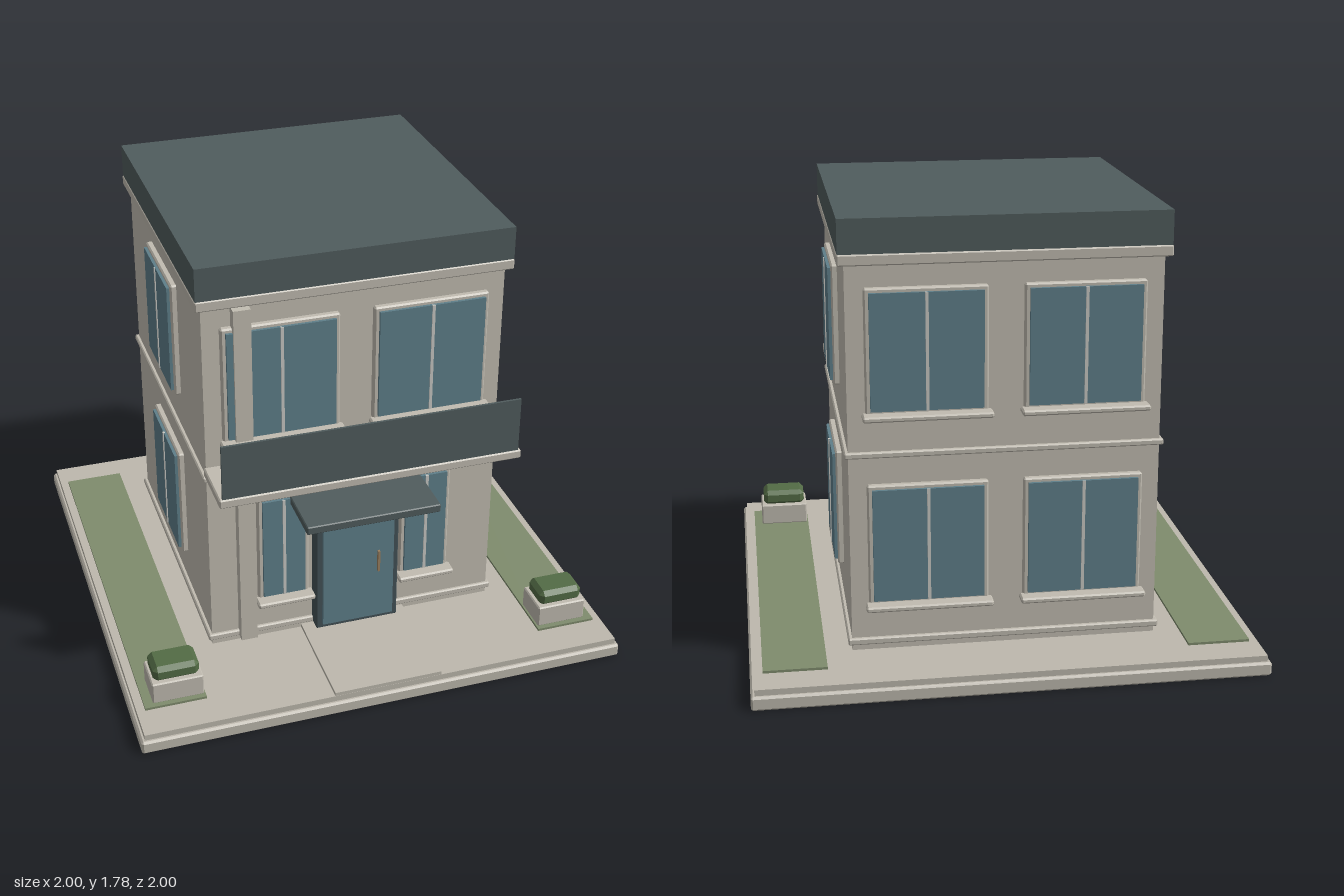
import * as THREE from 'three';
import { ConvexGeometry } from 'three/addons/geometries/ConvexGeometry.js';

const paint = (name, color) => Object.assign(new THREE.MeshStandardMaterial({ color }), { name });

export function createModel() {
  const wall = paint('wall plaster', 0xc2bdb1);
  const trim = paint('trim stone', 0xc0bbb0);
  const paving = paint('paving', 0xbdb8ad);
  const slate = paint('slate', 0x505c5d);
  const glass = paint('window glass', 0x5f7f8a);
  const mullionPaint = paint('mullion', 0xc9c9c4);
  const doorDark = paint('door frame', 0x435156);
  const grass = paint('grass', 0x7f8c6d);
  const leaf = paint('leaf', 0x536b45);
  const brass = paint('brass', 0x9a8060);

  const house = new THREE.Group();
  house.name = 'house';

  // Box given by its limits on each axis, with an optional chamfer on every edge
  function box(name, mat, x, y, z, bevel = 0, parent = house) {
    const size = [x[1] - x[0], y[1] - y[0], z[1] - z[0]];
    let geo;
    if (bevel) {
      const pts = [];
      for (const sx of [-1, 1]) for (const sy of [-1, 1]) for (const sz of [-1, 1])
        for (let face = 0; face < 3; face++) {
          const p = [sx, sy, sz].map((s, i) => s * (size[i] / 2 - (i === face ? 0 : bevel)));
          pts.push(new THREE.Vector3(...p));
        }
      geo = new ConvexGeometry(pts);
    } else geo = new THREE.BoxGeometry(...size);
    const mesh = new THREE.Mesh(geo, mat);
    mesh.name = name;
    mesh.position.set((x[0] + x[1]) / 2, (y[0] + y[1]) / 2, (z[0] + z[1]) / 2);
    parent.add(mesh);
    return mesh;
  }
  const mid = (w) => [-w, w];

  // Ground slab, lawns and path
  box('groundSlab', paving, mid(1), [0, 0.056], mid(1), 0.008);
  box('pavedTop', paving, mid(0.985), [0.056, 0.08], mid(0.985));
  box('frontPath', paving, mid(0.222), [0.08, 0.095], [0.5, 0.984]);
  for (const s of [-1, 1])
    box('lawn', grass, [s * 0.828 - 0.123, s * 0.828 + 0.123], [0.08, 0.09], [-0.852, 0.845]);

  // Walls, bands and roof
  box('walls', wall, mid(0.6), [0.08, 1.615], [-0.7, 0.522]);
  box('plinthBand', trim, mid(0.615), [0.105, 0.132], [-0.715, 0.535], 0.005);
  box('floorBand', trim, mid(0.615), [0.868, 0.892], [-0.715, 0.535], 0.005);
  box('cornice', trim, mid(0.626), [1.61, 1.653], [-0.727, 0.552], 0.005);
  box('roof', slate, mid(0.624), [1.653, 1.785], [-0.722, 0.55]);
  box('pilaster', wall, [-0.488, -0.42], [0.105, 1.605], [0.52, 0.568]);

  // Windows: built facing +z, then turned onto their wall
  function makeWindow(x, y, z, turn, w, sill) {
    const g = new THREE.Group();
    g.name = 'window';
    const h = 0.242;
    box('windowFrame', trim, mid(w / 2), mid(h), [-0.01, 0.024], 0.006, g);
    box('windowGlass', glass, mid(w / 2 - 0.018), mid(h - 0.016), [0.02, 0.036], 0, g);
    box('windowMullion', mullionPaint, mid(0.006), mid(h - 0.016), [0.03, 0.04], 0, g);
    if (sill) box('windowSill', trim, mid(w / 2 + 0.014), [-h - 0.014, -h + 0.008], [0.012, 0.076], 0.006, g);
    g.position.set(x, y, z);
    g.rotation.y = turn;
    house.add(g);
  }
  for (const [floor, y] of [0.52, 1.283].entries())
    for (const s of [-1, 1]) {
      makeWindow(s * 0.3, y, 0.522, 0, floor ? 0.464 : 0.21, true);
      makeWindow(s * 0.3, y, -0.7, Math.PI, 0.464, true);
      makeWindow(s * 0.6, y, -0.085, s * Math.PI / 2, 0.436, false);
    }

  // Front door and canopy
  box('doorFrame', doorDark, mid(0.174), [0.105, 0.706], [0.51, 0.586], 0.004);
  box('doorPanel', glass, mid(0.15), [0.13, 0.682], [0.58, 0.6]);
  box('doorHandle', brass, [0.079, 0.088], [0.358, 0.455], [0.6, 0.613]);
  box('doorCanopy', slate, mid(0.273), [0.718, 0.753], [0.52, 0.782], 0.004);

  // Balcony
  box('balconySlab', trim, mid(0.608), [0.892, 0.929], [0.515, 0.763], 0.005);
  box('balconyRail', slate, mid(0.596), [0.929, 1.157], [0.748, 0.758]);

  // Planters with clipped bushes
  function planter(x, y, z, d) {
    box('planterPot', trim, [x - 0.103, x + 0.103], [y, y + 0.092], [z - d, z + d], 0.005);
    box('planterBush', leaf, [x - 0.092, x + 0.092], [y + 0.085, y + 0.153], [z - d + 0.013, z + d - 0.013], 0.018);
  }
  for (const s of [-1, 1]) planter(s * 0.813, 0.089, 0.748, 0.079);
  planter(0.395, 0.929, 0.65, 0.047);

  return house;
}
